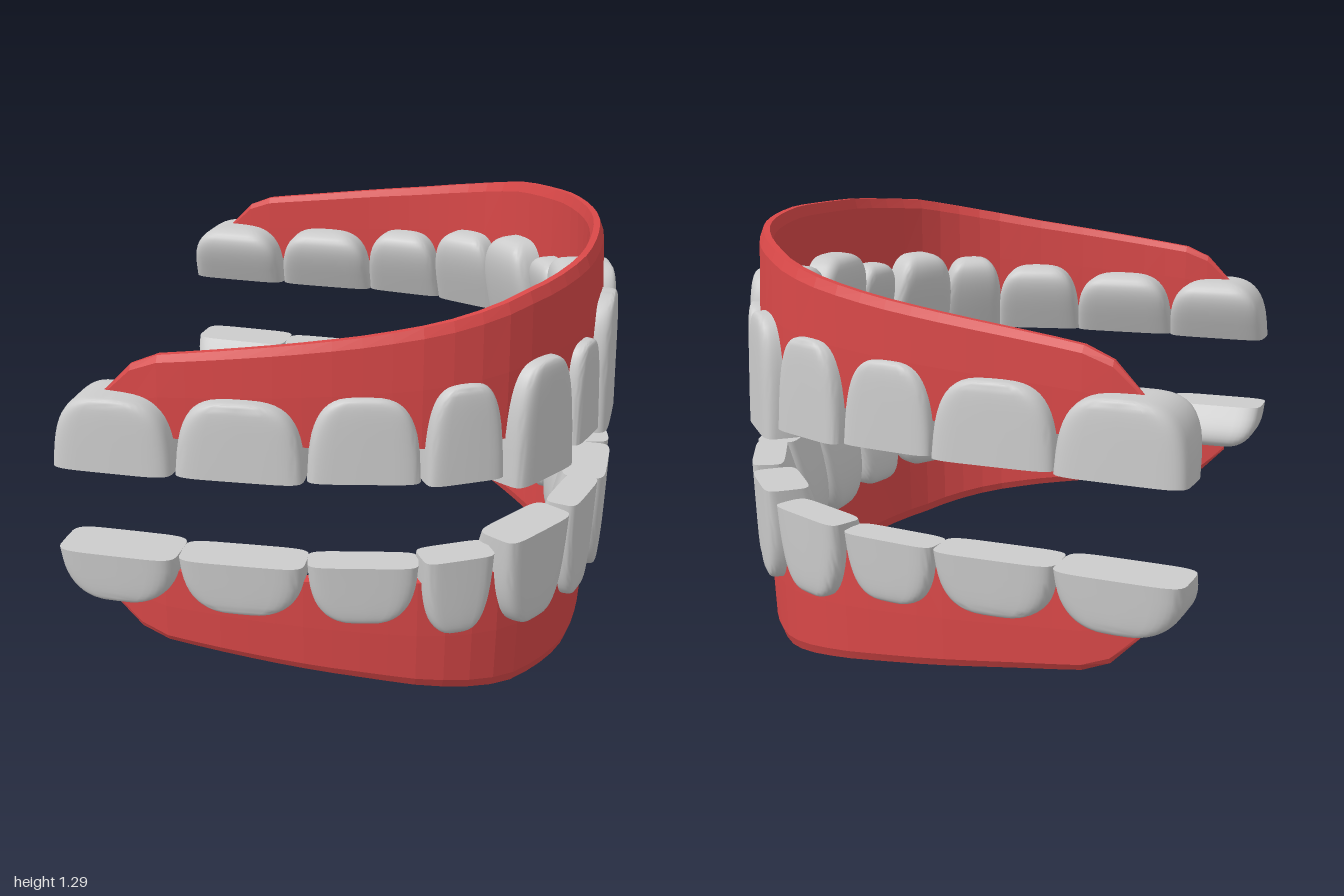
import * as THREE from 'three';
import { toCreasedNormals } from 'three/addons/utils/BufferGeometryUtils.js';

const MID_Y = 0.645; // the two jaws mirror about this height

// Arch seen from above as (x, z), from one back end round to the other
const ARCH = [
  [-1.02, -0.83], [-0.79, -0.86], [-0.5, -0.9], [-0.2, -0.945], [0, -0.955], [0.15, -0.945], [0.3, -0.9],
  [0.45, -0.8], [0.6, -0.65], [0.72, -0.47], [0.805, -0.26], [0.855, 0], [0.86, 0.15], [0.82, 0.35],
  [0.75, 0.5], [0.63, 0.62], [0.5, 0.69], [0.3, 0.77], [0.05, 0.84], [-0.25, 0.9], [-0.5, 0.955],
];
const MIDLINE = 10; // arch point between the two front teeth
const curve = new THREE.CatmullRomCurve3(ARCH.map(([x, z]) => new THREE.Vector3(x, 0, z)));
const midLength = curve.getLengths((ARCH.length - 1) * 20)[MIDLINE * 20];

// Position and outward direction at signed distance s from the midline
function archAt(s) {
  const u = THREE.MathUtils.clamp((s + midLength) / curve.getLength(), 0, 1);
  const t = curve.getTangentAt(u);
  return { p: curve.getPointAt(u), out: new THREE.Vector3(t.z, 0, -t.x) };
}

function interpolate(table, x) {
  for (let i = 1; i < table.length; i++) {
    const [x0, y0] = table[i - 1], [x1, y1] = table[i];
    if (x <= x1) return y0 + (y1 - y0) * (x - x0) / (x1 - x0);
  }
  return table[table.length - 1][1];
}

// Skin closed rings and cap both ends
function loft(rings, flip) {
  const n = rings[0].length, pos = [], idx = [];
  const tri = (a, b, c) => (flip ? idx.push(a, c, b) : idx.push(a, b, c));
  rings.forEach(r => r.forEach(v => pos.push(v.x, v.y, v.z)));
  for (let i = 0; i < rings.length - 1; i++) {
    for (let j = 0; j < n; j++) {
      const k = (j + 1) % n, a = i * n, b = a + n;
      tri(a + j, a + k, b + k);
      tri(a + j, b + k, b + j);
    }
  }
  [[0, true], [rings.length - 1, false]].forEach(([i, first]) => {
    const c = rings[i].reduce((s, v) => s.add(v), new THREE.Vector3()).divideScalar(n);
    const ci = pos.length / 3;
    pos.push(c.x, c.y, c.z);
    for (let j = 0; j < n; j++) {
      const a = i * n + j, b = i * n + (j + 1) % n;
      first ? tri(ci, b, a) : tri(ci, a, b);
    }
  });
  const g = new THREE.BufferGeometry();
  g.setAttribute('position', new THREE.Float32BufferAttribute(pos, 3));
  g.setIndex(idx);
  return g;
}

// Crown: narrow flat biting edge at y = 0, swelling inwards as it rises and rounding off at the gum
function toothGeometry({ width, height, outer, inner, round, flip }) {
  const rings = [], sides = 36, steps = 12;
  const power = (v, e) => Math.sign(v) * Math.abs(v) ** e;
  for (let i = 0; i <= steps; i++) {
    const phi = (i / steps) * 1.54;
    const t = Math.sin(phi) ** (2 / round), r = Math.cos(phi) ** (2 / round);
    const front = outer - 0.008 * t - 0.025 * (1 - r) ** 2;
    const back = (inner + 0.1 * (1 - t)) * r ** 0.8;
    const w = (width / 2) * (1 - 0.06 * t) * r;
    const ring = [];
    for (let j = 0; j < sides; j++) {
      const a = (j / sides) * Math.PI * 2;
      ring.push(new THREE.Vector3(
        w * power(Math.cos(a), 0.36),
        (flip ? -1 : 1) * height * t,
        (front + back) / 2 - ((front - back) / 2) * power(Math.sin(a), 0.36)));
    }
    rings.push(ring);
  }
  return toCreasedNormals(loft(rings, flip), 0.7);
}

// Gum ridge height by distance from the midline
const RIDGE = [[0, 1.29], [0.4, 1.277], [0.7, 1.25], [0.95, 1.2], [1.15, 1.165], [1.4, 1.13], [1.73, 1.085], [1.85, 1.035], [1.89, 0.97]];
const GUM_FROM = -1.94, GUM_TO = 1.89;

function gumGeometry(flip) {
  const rings = [], steps = 48, bottom = 0.85;
  // Section as (offset outward, share of height)
  const section = [[-0.02, 0], [-0.023, 0.5], [-0.024, 0.92], [-0.013, 1], [0.006, 1], [0.018, 0.92], [0.021, 0.5], [0.02, 0]];
  for (let i = 0; i <= steps; i++) {
    const s = THREE.MathUtils.lerp(GUM_FROM, GUM_TO, i / steps);
    const { p, out } = archAt(s);
    const top = interpolate(RIDGE, s < 0 ? s * GUM_TO / GUM_FROM : s);
    const thin = THREE.MathUtils.clamp(Math.min(s - GUM_FROM, GUM_TO - s) / 0.12, 0.2, 1);
    const flare = 0.022 * Math.max(0, 1 - Math.abs(s) / 0.9);
    rings.push(section.map(([o, h]) => {
      const y = bottom + (top - bottom) * h;
      const v = p.clone().addScaledVector(out, o * thin + flare * (1 - h));
      v.y = flip ? 2 * MID_Y - y : y;
      return v;
    }));
  }
  return loft(rings, !flip);
}

const NAMES = ['centralIncisor', 'lateralIncisor', 'canine', 'firstPremolar', 'secondPremolar', 'firstMolar', 'secondMolar'];
const OUTER = [0.085, 0.07, 0.075, 0.06, 0.055, 0.075, 0.095];
const INNER = [-0.15, -0.13, -0.16, -0.15, -0.15, -0.16, -0.17];

// Tooth boundaries along each side of the arch, biting edge and gum-side heights
const JAWS = [
  {
    name: 'upper', flip: false,
    near: [0, 0.33, 0.52, 0.785, 1.01, 1.32, 1.68, 2.03],
    far: [0, 0.335, 0.55, 0.83, 1.09, 1.37, 1.72, 2.08],
    bite: [0.72, 0.755, 0.715, 0.755, 0.76, 0.76, 0.76],
    root: [1.11, 1.045, 1.06, 1.03, 1.0, 0.98, 0.97],
    round: [4, 3.8, 3.4, 3.4, 3.3, 3.3, 3.2],
  },
  {
    name: 'lower', flip: true,
    near: [0, 0.285, 0.515, 0.8, 1.01, 1.32, 1.68, 2.03],
    far: [0, 0.265, 0.56, 0.8, 1.08, 1.37, 1.72, 2.08],
    bite: [0.55, 0.56, 0.55, 0.52, 0.505, 0.505, 0.505],
    root: [0.195, 0.23, 0.255, 0.28, 0.32, 0.34, 0.35],
    round: [2.4, 3.8, 3.2, 3.2, 3.2, 3.2, 3],
  },
];

export function createModel() {
  const model = new THREE.Group();
  model.name = 'teethAndGums';
  const enamel = new THREE.MeshStandardMaterial({ color: 0xcccccc });
  const gumMaterial = new THREE.MeshStandardMaterial({ color: 0xd94848, flatShading: true });

  for (const jaw of JAWS) {
    const group = new THREE.Group();
    group.name = `${jaw.name}Jaw`;
    const gum = new THREE.Mesh(gumGeometry(jaw.flip), gumMaterial);
    gum.name = `${jaw.name}Gum`;
    group.add(gum);

    for (const [side, sign] of [['near', 1], ['far', -1]]) {
      NAMES.forEach((name, i) => {
        const a = jaw[side][i], b = jaw[side][i + 1];
        const { p, out } = archAt(sign * (a + b) / 2);
        const tooth = new THREE.Mesh(toothGeometry({
          width: b - a, height: Math.abs(jaw.root[i] - jaw.bite[i]),
          outer: OUTER[i], inner: INNER[i], round: jaw.round[i], flip: jaw.flip,
        }), enamel);
        tooth.name = `${jaw.name}_${side}_${name}`;
        tooth.position.set(p.x, jaw.bite[i], p.z);
        tooth.rotation.y = Math.atan2(out.x, out.z);
        group.add(tooth);
      });
    }
    model.add(group);
  }
  return model;
}
